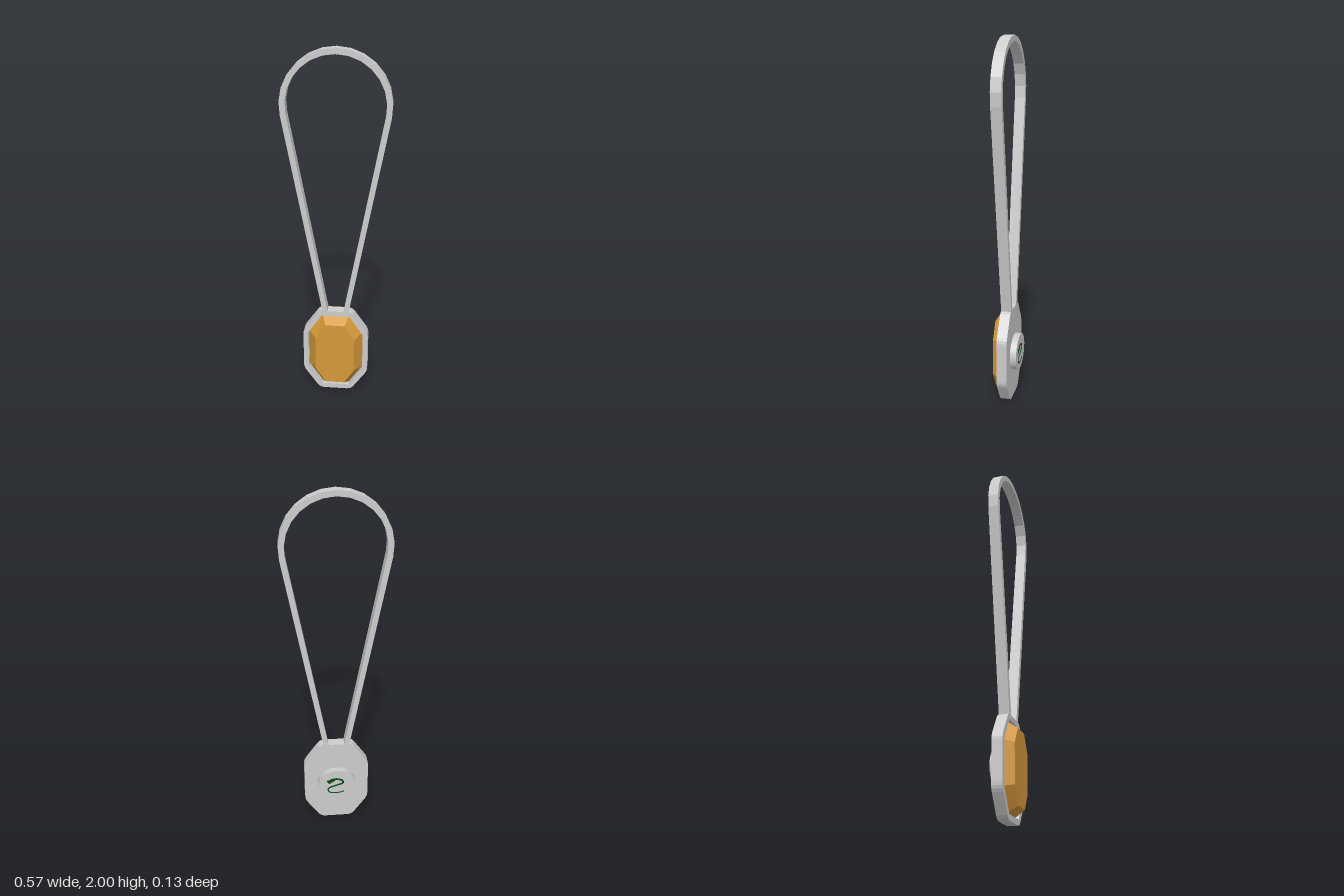
import * as THREE from 'three';

const metal = new THREE.MeshStandardMaterial({ color: 0xcccccc });
metal.name = 'silver metal';
const amber = new THREE.MeshStandardMaterial({ color: 0xd4983a });
amber.name = 'amber gem';
const green = new THREE.MeshStandardMaterial({ color: 0x0a4a14 });
green.name = 'dark green inlay';

const BACK = -0.03, FRONT = 0.027, MID_Y = 0.265;
const v2 = (x, y) => new THREE.Vector2(x, y);

// Counter-clockwise octagon: half sizes w, h; corner cut starts at cx, cy
function octagon(w, h, cx, cy) {
  return [[w, -cy], [w, cy], [cx, h], [-cx, h], [-w, cy], [-w, -cy], [-cx, -h], [cx, -h]]
    .map(([x, y]) => v2(x, y + MID_Y));
}

// Softens every corner of a polygon with a short curve
function rounded(points, r) {
  const shape = new THREE.Shape();
  points.forEach((p, i) => {
    const prev = points.at(i - 1), next = points[(i + 1) % points.length];
    const a = p.clone().add(prev.clone().sub(p).setLength(r));
    const b = p.clone().add(next.clone().sub(p).setLength(r));
    if (i) shape.lineTo(a.x, a.y); else shape.moveTo(a.x, a.y);
    shape.quadraticCurveTo(p.x, p.y, b.x, b.y);
  });
  shape.closePath();
  return shape;
}

function slab(name, shape, z0, z1, material) {
  const geometry = new THREE.ExtrudeGeometry(shape, { depth: z1 - z0, bevelEnabled: false, curveSegments: 3 });
  geometry.translate(0, 0, z0);
  const mesh = new THREE.Mesh(geometry, material);
  mesh.name = name;
  return mesh;
}

// Teardrop outline: an arc on top, tapering to the frame
function teardrop(radius, footX, footY) {
  const tilt = 0.183, steps = 14, points = [v2(footX, footY)];
  for (let i = 0; i <= steps; i++) {
    const a = -tilt + (Math.PI + 2 * tilt) * i / steps;
    points.push(v2(radius * Math.cos(a), 1.713 + radius * Math.sin(a)));
  }
  points.push(v2(-footX, footY));
  return points;
}

// Faceted stone: two octagon rings joined by sloping facets, closed by a flat table
function gemGeometry() {
  const base = octagon(0.156, 0.234, 0.078, 0.117);
  const table = octagon(0.112, 0.194, 0.055, 0.104);
  const pos = [], z0 = -0.003, z1 = 0.065;
  for (let i = 0; i < 8; i++) {
    const j = (i + 1) % 8;
    const a = [base[i].x, base[i].y, z0], b = [base[j].x, base[j].y, z0];
    const c = [table[j].x, table[j].y, z1], d = [table[i].x, table[i].y, z1];
    pos.push(...a, ...b, ...c, ...a, ...c, ...d, ...d, ...c, 0, MID_Y, z1);
  }
  const geometry = new THREE.BufferGeometry();
  geometry.setAttribute('position', new THREE.Float32BufferAttribute(pos, 3));
  geometry.computeVertexNormals();
  return geometry;
}

// Winding ribbon with a pointed head
function ribbonShape() {
  const curve = new THREE.SplineCurve([
    v2(0.055, 0.02), v2(0.02, 0.042), v2(-0.025, 0.035), v2(-0.035, 0.012),
    v2(0.005, -0.004), v2(0.048, -0.022), v2(0.045, -0.05), v2(0.005, -0.06), v2(-0.042, -0.05),
  ]);
  const left = [], right = [], n = 36;
  for (let i = 0; i <= n; i++) {
    const p = curve.getPoint(i / n), t = curve.getTangent(i / n);
    const w = 0.0065 * (1 - 0.6 * i / n);
    left.push(v2(p.x - t.y * w, p.y + t.x * w));
    right.push(v2(p.x + t.y * w, p.y - t.x * w));
  }
  const head = [v2(0.045, 0.008), v2(0.082, 0.012), v2(0.06, 0.038)];
  return new THREE.Shape([...left, ...right.reverse(), ...head]);
}

export function createModel() {
  const group = new THREE.Group();
  group.name = 'pendant';

  // Hanging loop
  const loopShape = new THREE.Shape([
    ...teardrop(0.287, 0.074, 0.525), ...teardrop(0.257, 0.045, 0.525).reverse(),
  ]);
  group.add(slab('hangingLoop', loopShape, BACK, FRONT, metal));

  // Setting: back plate and raised rim around the stone
  const outline = () => rounded(octagon(0.187, 0.265, 0.092, 0.128), 0.025);
  group.add(slab('backPlate', outline(), BACK, -0.003, metal));
  const rim = outline();
  rim.holes.push(new THREE.Path(octagon(0.157, 0.235, 0.079, 0.118).reverse()));
  group.add(slab('rim', rim, -0.003, FRONT, metal));

  const gem = new THREE.Mesh(gemGeometry(), amber);
  gem.name = 'gem';
  group.add(gem);

  // Round boss on the back
  const bossGeometry = new THREE.CylinderGeometry(0.11, 0.11, 0.035, 40);
  bossGeometry.rotateX(Math.PI / 2);
  bossGeometry.scale(1, 0.92, 1);
  const boss = new THREE.Mesh(bossGeometry, metal);
  boss.name = 'backBoss';
  boss.position.set(0, MID_Y, -0.0475);
  group.add(boss);

  // Thin winding inlay on the boss
  const inlay = slab('windingInlay', ribbonShape(), -0.067, -0.0645, green);
  inlay.position.y = MID_Y;
  group.add(inlay);

  return group;
}
